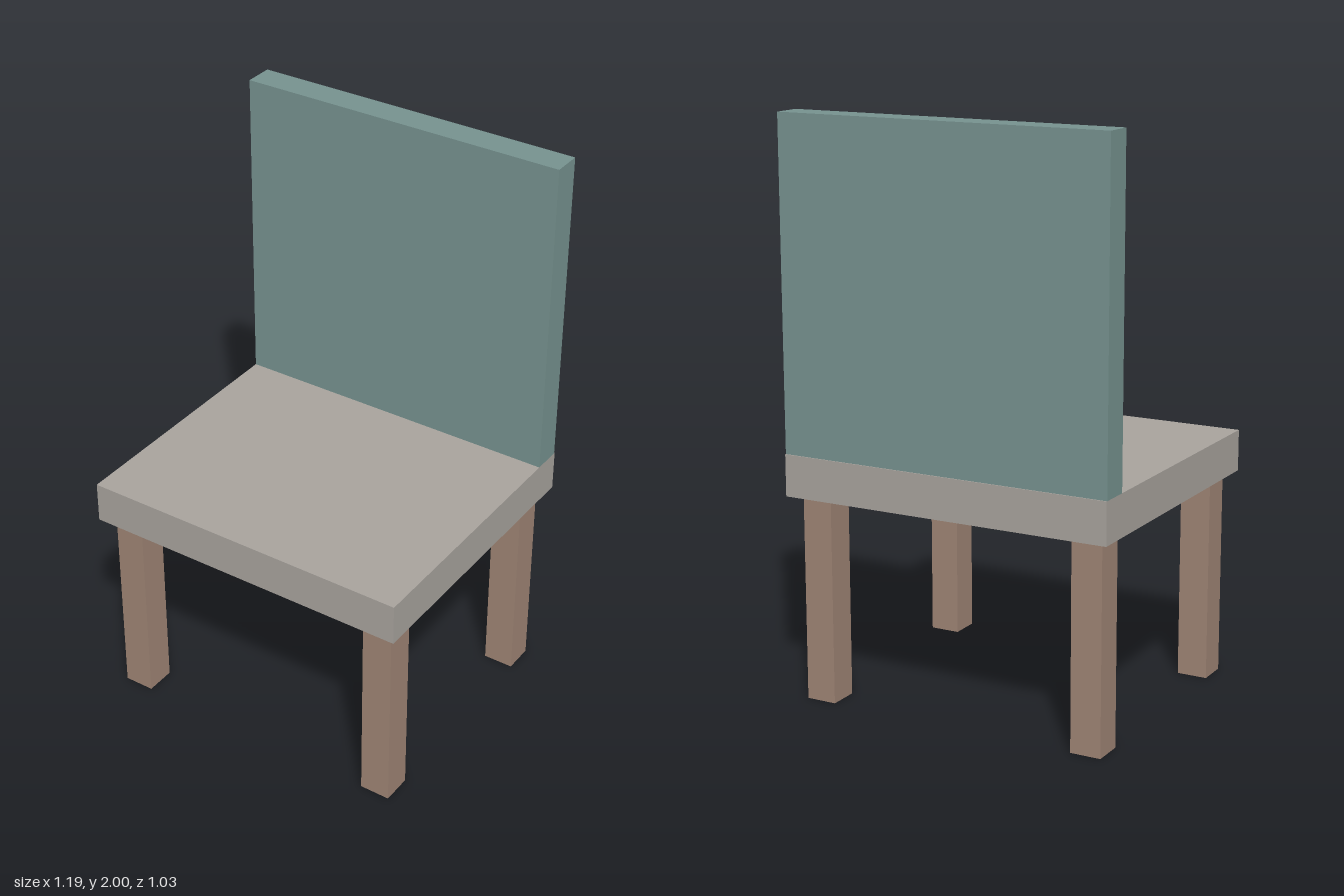
import * as THREE from 'three';

// Box given by its size, bottom height and centre in x and z
function block(name, [w, h, d], [x, bottom, z], material) {
  const mesh = new THREE.Mesh(new THREE.BoxGeometry(w, h, d), material);
  mesh.name = name;
  mesh.position.set(x, bottom + h / 2, z);
  return mesh;
}

export function createModel() {
  const chair = new THREE.Group();
  chair.name = 'chair';
  const wood = new THREE.MeshStandardMaterial({ color: 0x9e8474 });
  const cushion = new THREE.MeshStandardMaterial({ color: 0xa8a39d });
  const fabric = new THREE.MeshStandardMaterial({ color: 0x76928f });

  const seatBottom = 0.723;
  const seatTop = 0.868;

  // Seat slab
  chair.add(block('seat', [1.19, seatTop - seatBottom, 1.032], [0, seatBottom, 0], cushion));

  // Upright backrest, set just inside the rear edge of the seat
  chair.add(block('backrest', [1.19, 2 - seatTop, 0.104], [0, seatTop, -0.46], fabric));

  // Four square legs
  for (const [side, x] of [['Left', 0.504], ['Right', -0.504]]) {
    for (const [end, z] of [['front', 0.414], ['back', -0.414]]) {
      chair.add(block(`${end}${side}Leg`, [0.108, seatBottom, 0.108], [x, 0, z], wood));
    }
  }
  return chair;
}
